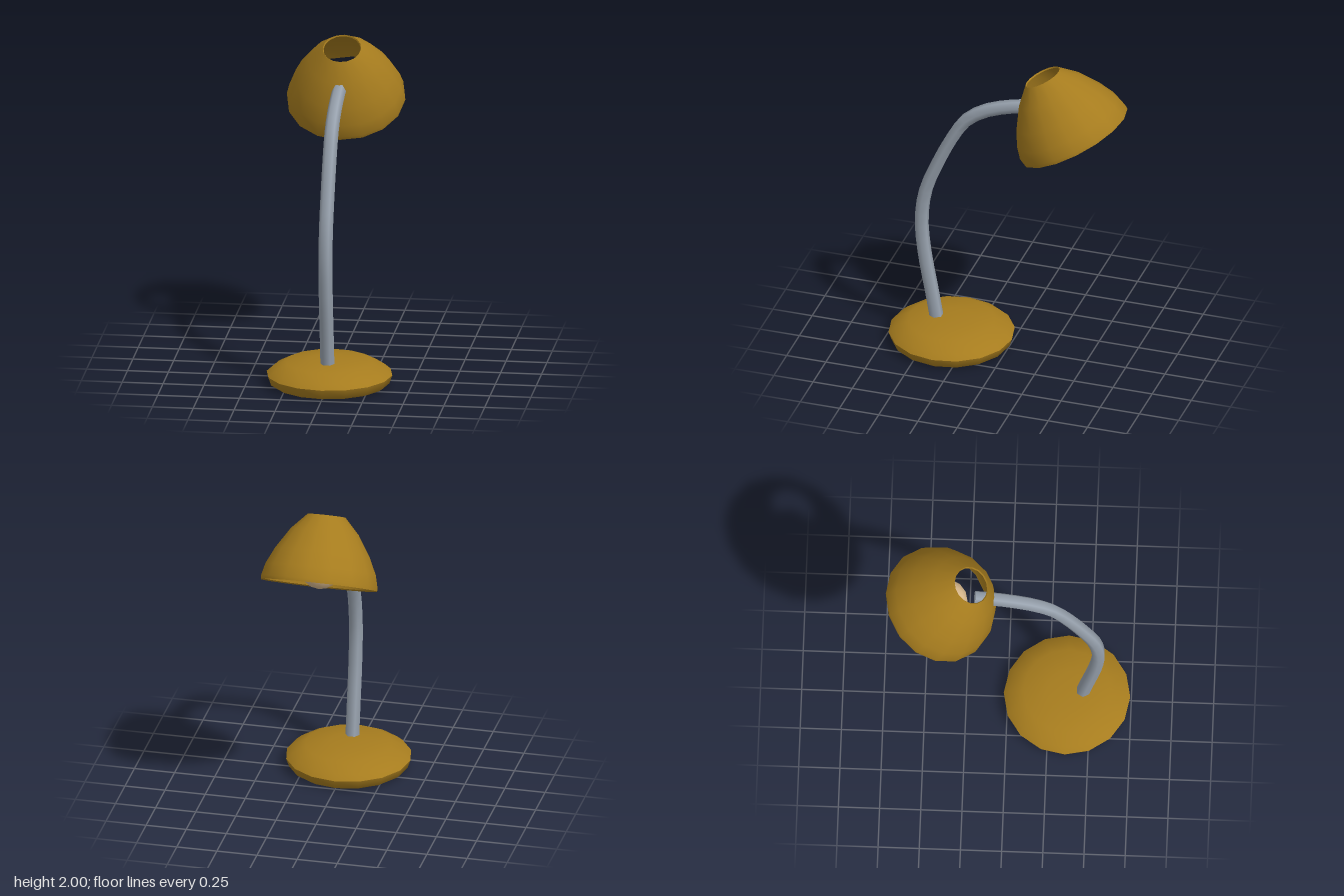
import * as THREE from 'three';
import { toCreasedNormals } from 'three/addons/utils/BufferGeometryUtils.js';

const SIDES = 16;
const paint = (color) => new THREE.MeshStandardMaterial({ color, side: THREE.DoubleSide });

function part(name, geometry, material) {
  const mesh = new THREE.Mesh(geometry, material);
  mesh.name = name;
  return mesh;
}

// Turned part from [radius, height] pairs, with soft sides and sharp rims
function turned(points) {
  const profile = points.map(([r, y]) => new THREE.Vector2(r, y));
  return toCreasedNormals(new THREE.LatheGeometry(profile, SIDES), 0.8);
}

export function createModel() {
  const lamp = new THREE.Group();
  lamp.name = 'deskLamp';
  const gold = paint(0xa67c1e);
  const steel = paint(0x98a2ae);

  // Low domed foot
  const base = part('base', turned([
    [0, 0], [0.345, 0], [0.367, 0.015], [0.384, 0.065],
    [0.35, 0.095], [0.265, 0.14], [0.12, 0.153], [0, 0.16],
  ]), gold);
  base.position.z = 0.36;
  lamp.add(base);

  // Curved six-sided arm, given as [y, z] points
  const path = new THREE.CatmullRomCurve3([
    [0.1, 0.449], [0.3, 0.483], [0.6, 0.535], [0.82, 0.551], [1.02, 0.525], [1.22, 0.45],
    [1.42, 0.355], [1.56, 0.265], [1.64, 0.155], [1.69, 0.03], [1.72, -0.09], [1.735, -0.2],
  ].map(([y, z]) => new THREE.Vector3(0, y, z)));
  const radius = 0.043;
  const arm = part('arm', new THREE.TubeGeometry(path, 24, radius, 6), steel);
  lamp.add(arm);

  // Flat end of the arm inside the shade
  const armEnd = part('armEnd', new THREE.CircleGeometry(radius, 6), steel);
  const tangent = path.getTangentAt(1);
  armEnd.position.copy(path.getPointAt(1));
  armEnd.rotation.x = Math.atan2(-tangent.y, tangent.z);
  lamp.add(armEnd);

  // Tilted head: origin at the centre of the shade's rim
  const head = new THREE.Group();
  head.name = 'head';
  head.position.set(0, 1.573, -0.425);
  head.rotation.x = 0.501;
  lamp.add(head);

  // Thin-walled shade, open at both ends
  const outer = [[0.361, 0.003], [0.362, 0.025], [0.343, 0.1], [0.295, 0.2], [0.211, 0.33], [0.117, 0.428]];
  const inner = [[0.112, 0.42], [0.201, 0.322], [0.284, 0.194], [0.33, 0.097], [0.348, 0.01]];
  head.add(part('shade', turned([...outer, ...inner, outer[0]]), gold));

  // Bulb
  const bulb = part('bulb', new THREE.SphereGeometry(0.13, 12, 8), paint(0xdcbc90));
  bulb.position.y = 0.11;
  head.add(bulb);

  return lamp;
}
